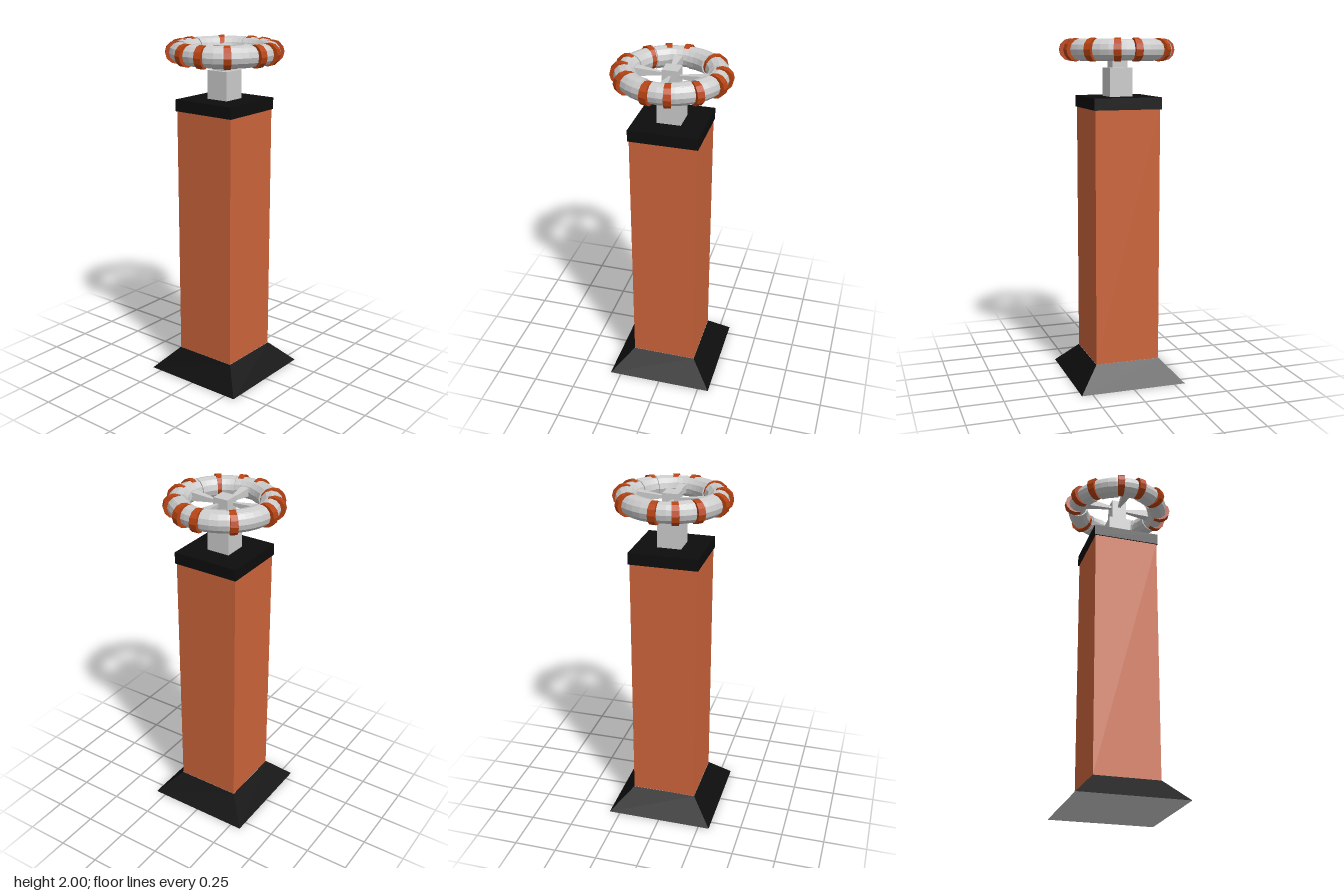
import * as THREE from 'three';
import { mergeGeometries } from 'three/addons/utils/BufferGeometryUtils.js';

const material = (color) => new THREE.MeshStandardMaterial({ color, flatShading: true });
const RAD = Math.PI / 180;
const RING_Y = 1.936;

export function createModel() {
  const model = new THREE.Group();
  const grey = material(0xcccccc);
  const black = material(0x0d0d0d);
  const clay = material(0xcc643b);
  const rust = material(0xb84312);

  function add(name, geometry, mat, parent = model) {
    const mesh = new THREE.Mesh(geometry, mat);
    mesh.name = name;
    parent.add(mesh);
    return mesh;
  }

  // Square block between two heights
  const block = (name, width, y0, y1, mat) =>
    add(name, new THREE.BoxGeometry(width, y1 - y0, width).translate(0, (y0 + y1) / 2, 0), mat);

  // Square frustum along y, given full widths
  const frustum = (topWidth, bottomWidth, height, open) =>
    new THREE.CylinderGeometry(topWidth * Math.SQRT1_2, bottomWidth * Math.SQRT1_2, height, 4, 1, open)
      .rotateY(Math.PI / 4);

  // Flared foot with a pale underside
  add('foot', frustum(0.385, 0.63, 0.13, true).translate(0, 0.065, 0), black);
  add('footUnderside', new THREE.PlaneGeometry(0.63, 0.63).rotateX(Math.PI / 2), grey);

  // Column, cap and stem
  block('column', 0.382, 0.13, 1.605, clay);
  block('cap', 0.396, 1.605, 1.672, black);
  block('stemBase', 0.137, 1.672, 1.835, grey);
  block('hub', 0.09, 1.835, 1.975, grey);

  // Wheel on top
  const wheel = new THREE.Group();
  wheel.name = 'wheel';
  wheel.position.y = RING_Y;
  model.add(wheel);
  add('ring', new THREE.TorusGeometry(0.255, 0.058, 12, 40).rotateX(-Math.PI / 2), grey, wheel);

  // Closed piece of a torus between two angles in degrees
  function ringPiece(name, radius, tube, from, to, segments, mat) {
    const arc = (to - from) * RAD;
    const start = new THREE.CircleGeometry(tube, 12).rotateX(Math.PI / 2).translate(radius, 0, 0);
    const end = new THREE.CircleGeometry(tube, 12).rotateX(-Math.PI / 2).translate(radius, 0, 0).rotateZ(arc);
    const body = new THREE.TorusGeometry(radius, tube, 12, segments, arc);
    const geometry = mergeGeometries([body, start, end]).rotateZ(from * RAD).rotateX(-Math.PI / 2);
    const mesh = add(name, geometry, mat, wheel);
    mesh.scale.y = Math.min(1, 0.064 / tube);
  }

  // Coloured bands; those on three diagonals wrap the whole tube
  const bands = [11, 42, 72, 93.5, 132, 176, 198.5, 223.5, 258, 282, 311, 348];
  const wrapped = [132, 223.5, 311];
  for (const angle of bands) {
    const full = wrapped.includes(angle);
    ringPiece('band', full ? 0.265 : 0.271, full ? 0.069 : 0.064, angle - 3.6, angle + 3.6, 1, rust);
  }

  // Grey sleeves that thicken the inside of the ring
  const sleeves = [[15, 38], [45, 67], [99, 125], [137, 170], [202, 219], [229, 255], [288, 308], [315, 341]];
  for (const [from, to] of sleeves) ringPiece('sleeve', 0.249, 0.061, from, to, 3, grey);

  // Spokes taper from the ring to the hub: angle and sideways shift
  const spokes = [[0, 0], [90, -0.018], [180, 0.018], [270, 0]];
  for (const [angle, shift] of spokes) {
    const geometry = frustum(0.053, 0.014, 0.18, false).rotateZ(-Math.PI / 2).translate(0.13, 0, shift * -1);
    if (angle === 90 || angle === 180) geometry.translate(0, 0, shift * 2 - shift * (angle === 180 ? 2 : 0));
    if (angle === 90) geometry.translate(0, 0, -shift * 2);
    add('spoke', geometry.rotateY(angle * RAD), grey, wheel);
  }

  return model;
}
